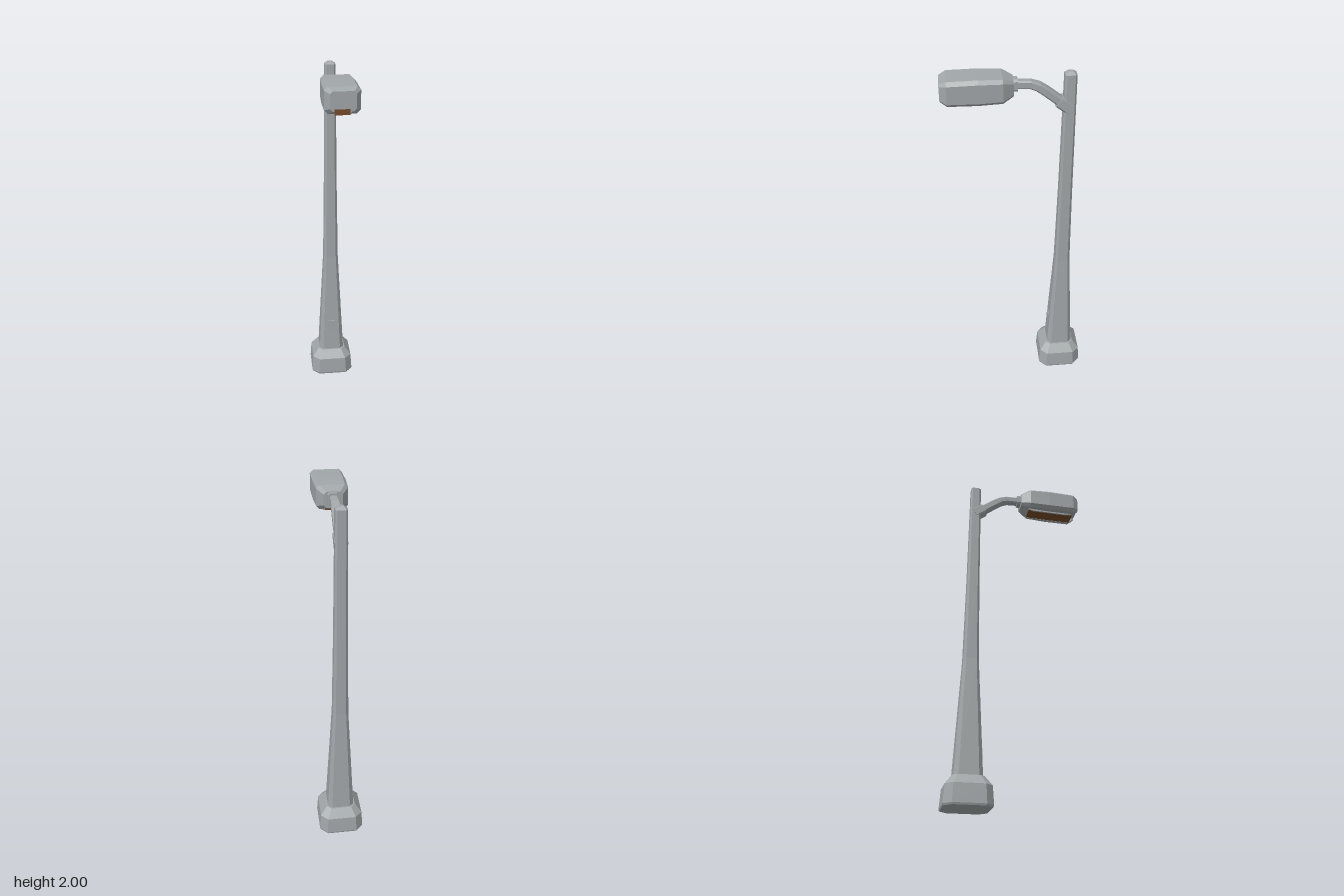
import * as THREE from 'three';

const POLE_Z = -0.26;
const NOTCH_W = 0.042;

// Skin over chamfered-rectangle sections: { y, z, ty, tz (direction), w, h (half sizes), c (chamfer), n (depth of a notch in the underside) }
function loft(sections) {
  const pos = [], idx = [];
  let ring;
  for (const { y, z, ty, tz, w, h, c, n = 0 } of sections) {
    const len = Math.hypot(ty, tz), uy = tz / len, uz = -ty / len;
    const k = Math.min(NOTCH_W, (w - c) * 0.8);
    ring = [
      [w, c - h], [w, h - c], [w - c, h], [c - w, h], [-w, h - c], [-w, c - h], [c - w, -h],
      [-k, -h], [-k, n - h], [k, n - h], [k, -h], [w - c, -h],
    ];
    for (const [a, b] of ring) pos.push(a, y + b * uy, z + b * uz);
  }
  const N = ring.length;
  for (let s = 0; s < sections.length - 1; s++) {
    for (let i = 0; i < N; i++) {
      const a = s * N + i, b = s * N + (i + 1) % N;
      idx.push(a, b, b + N, a, b + N, a + N);
    }
  }
  // End caps: two side pieces and a middle strip above the notch
  const end = (sections.length - 1) * N;
  const caps = [[0, 1, 2], [0, 2, 9], [0, 9, 10], [0, 10, 11], [2, 3, 8], [2, 8, 9], [3, 4, 5], [3, 5, 8], [5, 7, 8], [5, 6, 7]];
  for (const [a, b, c] of caps) idx.push(a, c, b, end + a, end + b, end + c);

  const g = new THREE.BufferGeometry();
  g.setAttribute('position', new THREE.Float32BufferAttribute(pos, 3));
  g.setIndex(idx);
  const flat = g.toNonIndexed();
  flat.computeVertexNormals();
  return flat;
}

// Upright square section: height, half width, chamfer
const upright = ([y, w, c]) => ({ y, z: POLE_Z, ty: 1, tz: 0, w, h: w, c });
// Section facing +z: z, half width, bottom, top, chamfer, notch depth
const forward = ([z, w, lo, hi, c, n]) => ({ y: (lo + hi) / 2, z, ty: 0, tz: 1, w, h: (hi - lo) / 2, c, n });
// Section along the arm: z, y, direction z, direction y, half width, half height, chamfer
const along = ([z, y, tz, ty, w, h, c]) => ({ y, z, ty, tz, w, h, c });

export function createModel() {
  const group = new THREE.Group();
  group.name = 'streetLamp';
  const metal = new THREE.MeshStandardMaterial({ color: 0xa1a6a8 });
  metal.name = 'grey metal';
  const amber = new THREE.MeshStandardMaterial({ color: 0x744a2a });
  amber.name = 'amber lens';

  const add = (name, geometry, material = metal) => {
    const mesh = new THREE.Mesh(geometry, material);
    mesh.name = name;
    group.add(mesh);
    return mesh;
  };

  // Footing
  add('base', loft([
    [0, 0.127, 0.042], [0.01, 0.13, 0.042], [0.11, 0.123, 0.04], [0.16, 0.085, 0.025],
  ].map(upright)));

  // Tapered pole with a low pointed cap
  add('pole', loft([
    [0.15, 0.077, 0.023], [0.82, 0.043, 0.014], [1.3, 0.036, 0.012],
    [1.986, 0.03, 0.009], [2.0, 0.012, 0.001],
  ].map(upright)));

  // Access door, standing proud of the taper
  const door = add('accessDoor', new THREE.BoxGeometry(0.042, 0.08, 0.02));
  door.position.set(0, 0.33, POLE_Z + 0.064);
  door.rotation.x = -0.025;

  // Clamp where the arm meets the pole
  add('armBracket', loft([
    [-0.265, 1.801, 0.8, 0.6, 0.034, 0.032, 0.01],
    [-0.206, 1.845, 0.8, 0.6, 0.033, 0.032, 0.01],
  ].map(along)));

  // Bent arm
  add('arm', loft([
    [-0.24, 1.82, 0.8, 0.6, 0.027, 0.024, 0.008],
    [-0.135, 1.901, 0.8, 0.6, 0.027, 0.023, 0.008],
    [-0.1, 1.925, 0.87, 0.5, 0.026, 0.022, 0.008],
    [-0.06, 1.939, 0.98, 0.2, 0.023, 0.021, 0.007],
    [0.01, 1.942, 1, 0, 0.021, 0.021, 0.007],
  ].map(along)));

  add('neckCollar', loft([
    [0.004, 0.03, 1.911, 1.974, 0.01], [0.035, 0.03, 1.911, 1.974, 0.01],
  ].map(forward)));

  // Lamp head, notched under its front edge
  add('lampHead', loft([
    [0.026, 0.05, 1.892, 1.976, 0.014],
    [0.08, 0.083, 1.87, 1.996, 0.017],
    [0.2, 0.088, 1.866, 2.0, 0.018],
    [0.355, 0.088, 1.868, 1.997, 0.018],
    [0.355, 0.088, 1.868, 1.997, 0.018, 0.03],
    [0.39, 0.063, 1.887, 1.982, 0.012, 0.011],
  ].map(forward)));

  // Lens under the head, held between two slim rails
  add('lens', loft([
    [0.075, 0.038, 1.864, 1.89, 0.002], [0.1, 0.038, 1.858, 1.89, 0.002],
    [0.3, 0.038, 1.858, 1.89, 0.002], [0.357, 0.038, 1.861, 1.89, 0.002],
  ].map(forward)), amber);
  for (const side of [-1, 1]) {
    const rail = add(side > 0 ? 'leftLensRail' : 'rightLensRail', loft([
      [0.075, 0.004, 1.864, 1.89, 0.001], [0.1, 0.004, 1.857, 1.89, 0.001],
      [0.3, 0.004, 1.857, 1.89, 0.001], [0.345, 0.004, 1.861, 1.89, 0.001],
    ].map(forward)));
    rail.position.x = side * 0.042;
  }

  return group;
}
